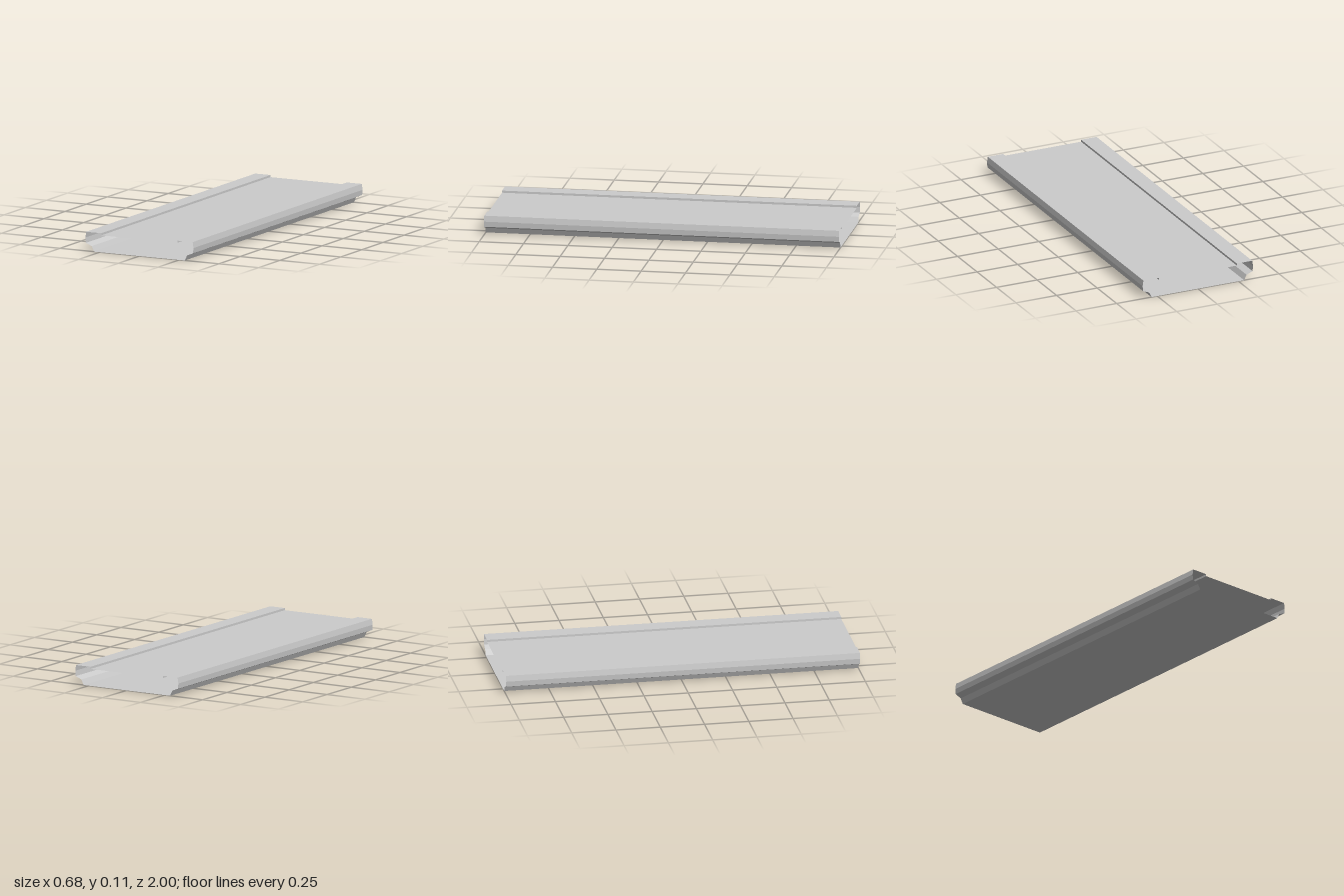
import * as THREE from 'three';

const HALF_LENGTH = 1;

// Open sheet: an (x, y) profile swept along z, one flat quad per segment.
// Profiles run counter-clockwise seen from the front, so faces point outward.
function sheet(name, profile, material) {
  const pos = [];
  for (let i = 0; i < profile.length - 1; i++) {
    const [x0, y0] = profile[i];
    const [x1, y1] = profile[i + 1];
    const a = [x0, y0, HALF_LENGTH], b = [x1, y1, HALF_LENGTH];
    const c = [x1, y1, -HALF_LENGTH], d = [x0, y0, -HALF_LENGTH];
    pos.push(...a, ...d, ...c, ...a, ...c, ...b);
  }
  const geometry = new THREE.BufferGeometry();
  geometry.setAttribute('position', new THREE.Float32BufferAttribute(pos, 3));
  geometry.computeVertexNormals();
  const mesh = new THREE.Mesh(geometry, material);
  mesh.name = name;
  return mesh;
}

export function createModel() {
  const group = new THREE.Group();
  group.name = 'openChannelPanel';
  const material = new THREE.MeshStandardMaterial({
    color: 0xcccccc, flatShading: true, side: THREE.DoubleSide,
  });

  // Side rail: lower wall, shelf, bulged outer wall, top flange, step to the panel
  const rail = [
    [0.285, 0], [0.3, 0.03], [0.337, 0.045], [0.34, 0.075],
    [0.335, 0.108], [0.24, 0.108], [0.24, 0.096],
  ];
  const mirrored = rail.map(([x, y]) => [-x, y]).reverse();

  group.add(
    sheet('bottomPanel', [[-0.285, 0], [0.285, 0]], material),
    sheet('leftRail', rail, material),
    sheet('topPanel', [[0.24, 0.096], [-0.24, 0.096]], material),
    sheet('rightRail', mirrored, material),
  );
  return group;
}
